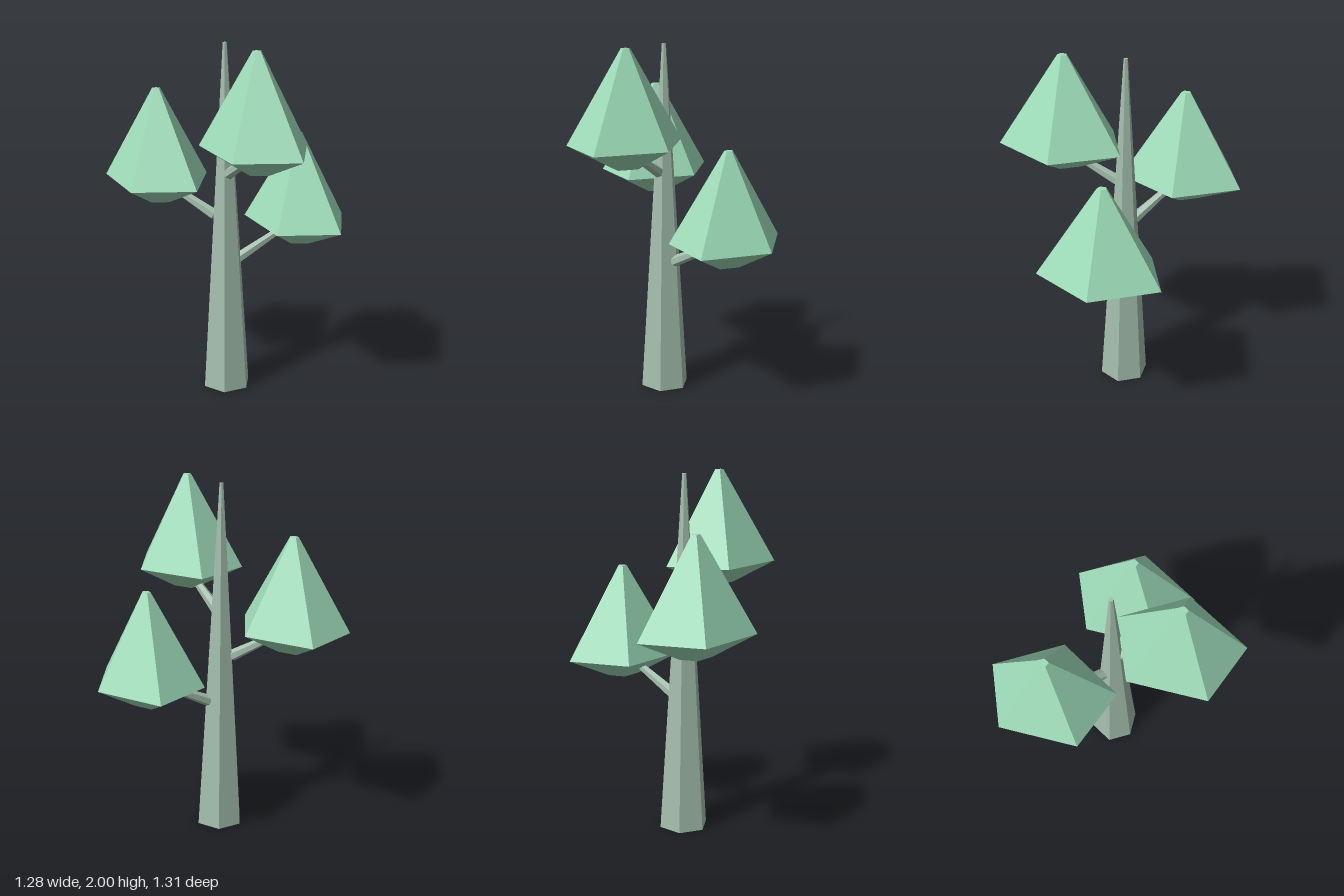
import * as THREE from 'three';

export function createModel() {
  const model = new THREE.Group();
  model.name = 'tree';

  const bark = new THREE.MeshStandardMaterial({ color: 0xa4bfae, flatShading: true });
  bark.name = 'sage bark';
  const leaf = new THREE.MeshStandardMaterial({ color: 0x9edcb9, flatShading: true });
  leaf.name = 'mint leaf';

  const add = (name, geometry, material) => {
    const mesh = new THREE.Mesh(geometry, material);
    mesh.name = name;
    model.add(mesh);
    return mesh;
  };

  // Tapered six-sided trunk, corners on the x axis
  const trunk = new THREE.CylinderGeometry(0.012, 0.14, 2, 6, 1, false, Math.PI / 2);
  add('trunk', trunk, bark).position.set(-0.11, 1, -0.037);

  // Six-sided branch with a ridge on top, running from the trunk into a crown
  function addBranch(name, from, to) {
    const a = new THREE.Vector3(...from), b = new THREE.Vector3(...to);
    const geometry = new THREE.CylinderGeometry(0.016, 0.033, a.distanceTo(b), 6);
    geometry.rotateX(Math.PI / 2);
    const branch = add(name, geometry, bark);
    branch.position.copy(a).lerp(b, 0.5);
    branch.lookAt(b);
  }

  // Five-sided crown: long cone above the rim, short cut cone below it
  function addCrown(name, x, y, z) {
    const tier = (top, bottom, height, base) => {
      const g = new THREE.CylinderGeometry(top, bottom, height, 5, 1, true, Math.PI / 2);
      return g.translate(0, base + height / 2, 0);
    };
    const cap = (radius, height, turn) =>
      new THREE.CircleGeometry(radius, 5).rotateX(turn).translate(0, height, 0);
    const parts = {
      Upper: tier(0.028, 0.365, 0.515, 0.12),
      Lower: tier(0.365, 0.1, 0.12, 0),
      Tip: cap(0.028, 0.635, -Math.PI / 2),
      Base: cap(0.1, 0, Math.PI / 2),
    };
    for (const [part, geometry] of Object.entries(parts)) {
      geometry.scale(0.81, 1, 1); // crowns are narrower across than deep
      add(name + part, geometry, leaf).position.set(x, y, z);
    }
  }

  addBranch('leftBranch', [-0.035, 0.767, -0.037], [0.345, 0.955, -0.037]);
  addCrown('leftCrown', 0.345, 0.823, -0.037);

  addBranch('rightBranch', [-0.16, 1.03, -0.08], [-0.405, 1.22, -0.307]);
  addCrown('rightCrown', -0.405, 1.094, -0.307);

  addBranch('frontBranch', [-0.11, 1.285, 0.01], [-0.081, 1.455, 0.304]);
  addCrown('frontCrown', -0.081, 1.365, 0.304);

  return model;
}
